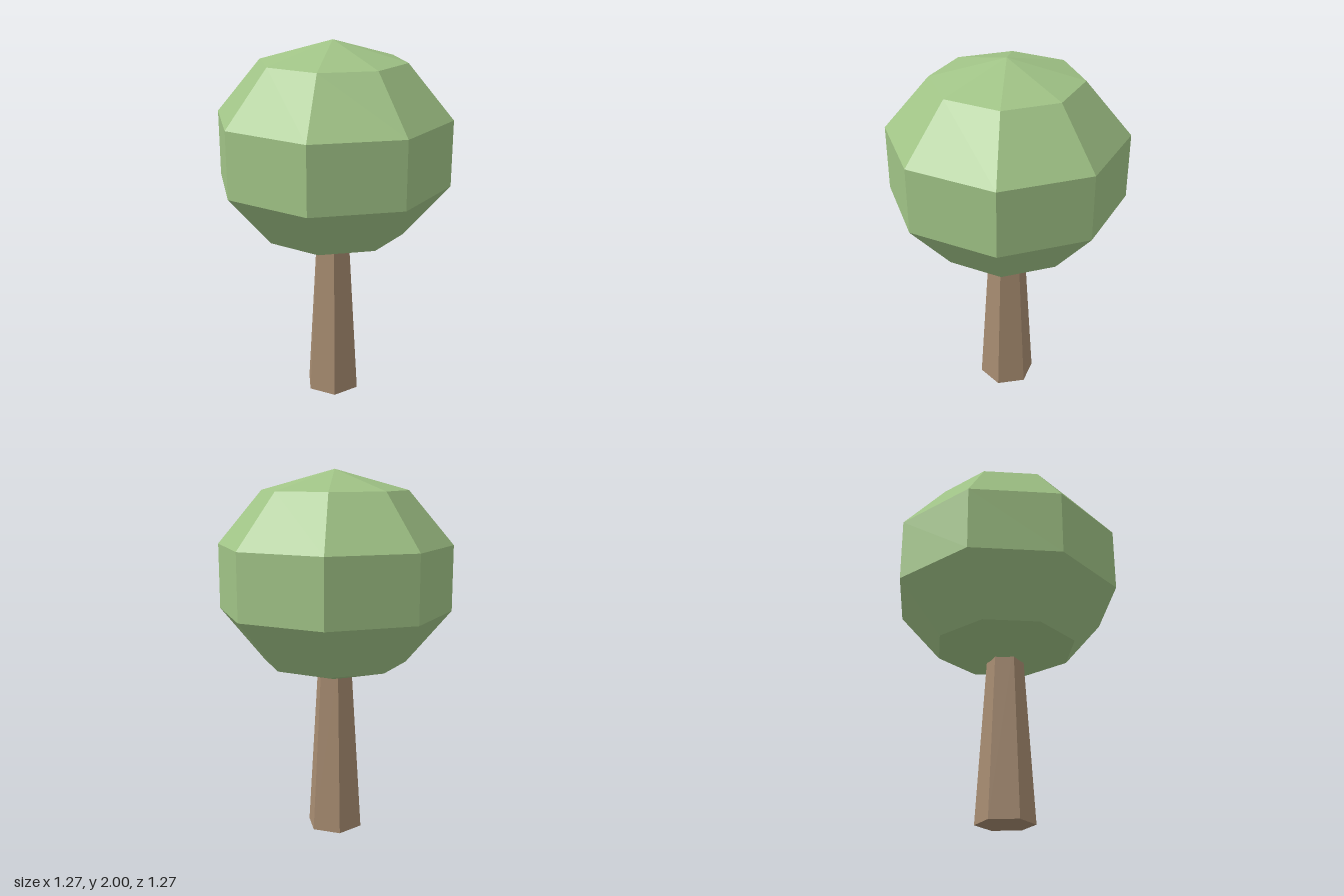
import * as THREE from 'three';

export function createModel() {
  const tree = new THREE.Group();
  tree.name = 'tree';

  const leafGreen = new THREE.MeshStandardMaterial({ color: 0xa0c386, flatShading: true });
  leafGreen.name = 'leafGreen';
  const barkBrown = new THREE.MeshStandardMaterial({ color: 0xa68b70, flatShading: true });
  barkBrown.name = 'barkBrown';

  // Tapered six-sided trunk, flat sides facing front and back
  const trunkHeight = 0.95;
  const trunkGeometry = new THREE.CylinderGeometry(0.097, 0.157, trunkHeight, 6);
  trunkGeometry.rotateY(Math.PI / 6);
  trunkGeometry.translate(0, trunkHeight / 2, 0);
  const trunk = new THREE.Mesh(trunkGeometry, barkBrown);
  trunk.name = 'trunk';

  // Faceted crown, slightly flattened, with its tip at y = 2
  const crownRadius = 0.667;
  const crownHalfHeight = 0.572;
  const crownGeometry = new THREE.SphereGeometry(crownRadius, 8, 5);
  crownGeometry.scale(1, crownHalfHeight / crownRadius, 1);
  crownGeometry.translate(0, 2 - crownHalfHeight, 0);
  const crown = new THREE.Mesh(crownGeometry, leafGreen);
  crown.name = 'crown';

  tree.add(trunk, crown);
  return tree;
}
